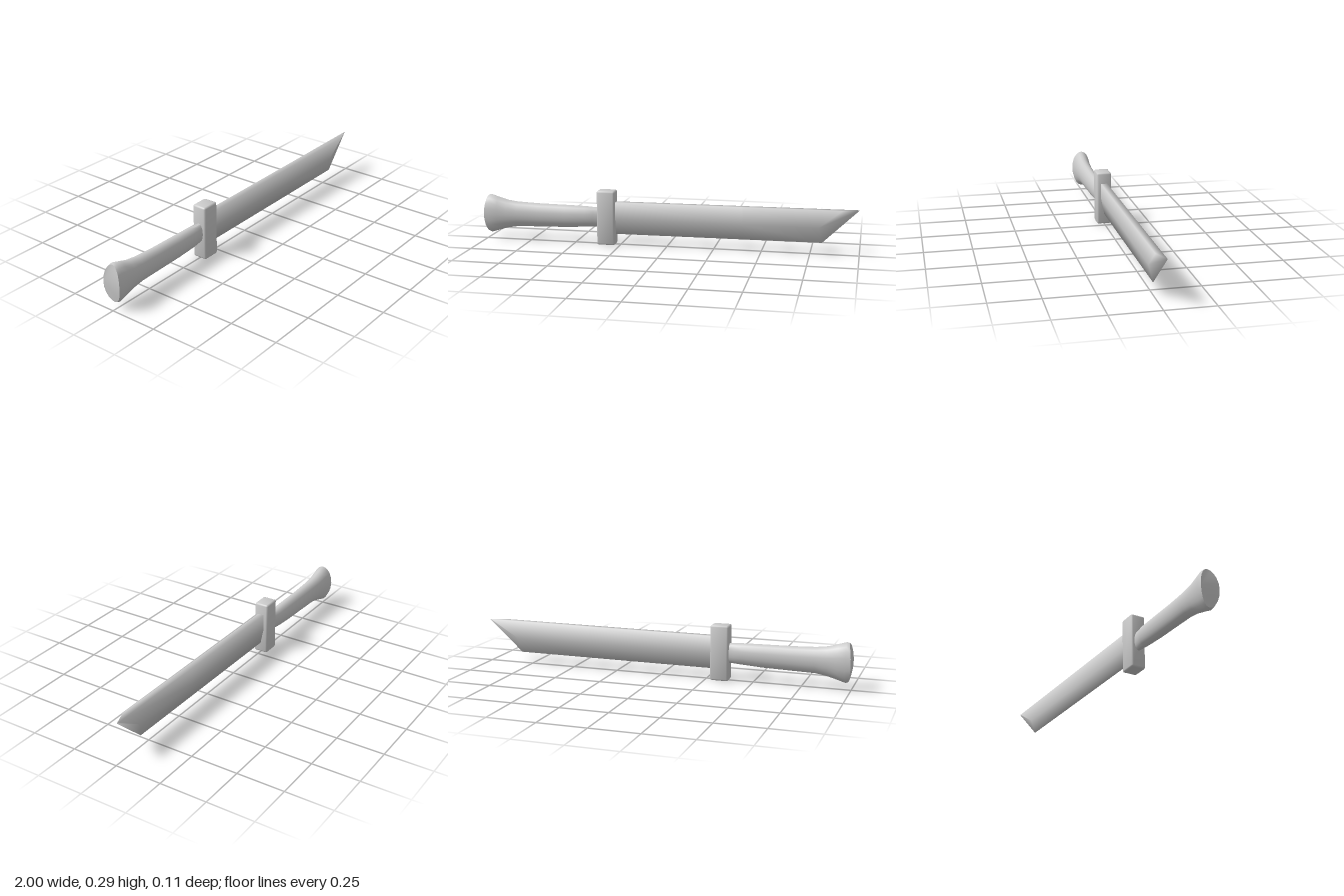
import * as THREE from 'three';
import { RoundedBoxGeometry } from 'three/addons/geometries/RoundedBoxGeometry.js';
import { toCreasedNormals } from 'three/addons/utils/BufferGeometryUtils.js';

const grey = new THREE.MeshStandardMaterial({ color: 0xcccccc });

function addPart(group, name, geometry) {
  const mesh = new THREE.Mesh(geometry, grey);
  mesh.name = name;
  group.add(mesh);
  return mesh;
}

// Joins equal rings of points running along +x, closing both ends.
// Rings run anticlockwise when seen from +x.
function loft(rings, crease) {
  const n = rings[0].length;
  const points = rings.flat();
  const index = [];
  for (let r = 0; r < rings.length - 1; r++) {
    for (let i = 0; i < n; i++) {
      const a = r * n + i, b = r * n + (i + 1) % n;
      index.push(a, b, b + n, a, b + n, a + n);
    }
  }
  const last = (rings.length - 1) * n;
  for (let i = 1; i < n - 1; i++) {
    index.push(0, i + 1, i, last, last + i, last + i + 1);
  }
  const geometry = new THREE.BufferGeometry();
  geometry.setAttribute('position', new THREE.Float32BufferAttribute(points.flat(), 3));
  geometry.setIndex(index);
  return toCreasedNormals(geometry, crease);
}

// Grip swelling into a flared pommel: [x, bottom, top, half depth]
function gripGeometry() {
  const sections = [
    [-1.0, 0.042, 0.24, 0.051],
    [-0.972, 0.035, 0.245, 0.053],
    [-0.93, 0.048, 0.232, 0.049],
    [-0.88, 0.063, 0.217, 0.045],
    [-0.82, 0.073, 0.209, 0.042],
    [-0.7, 0.076, 0.204, 0.039],
    [-0.55, 0.08, 0.202, 0.038],
    [-0.44, 0.087, 0.2, 0.036],
    [-0.4, 0.09, 0.197, 0.029],
    [-0.36, 0.092, 0.195, 0.021],
  ];
  const sides = 20;
  const rings = sections.map(([x, bottom, top, depth], s) => {
    const ring = [];
    for (let i = 0; i < sides; i++) {
      const angle = (i / sides) * Math.PI * 2;
      const up = Math.sin(angle);
      // The butt end bows outward around its middle
      const bow = s === 0 ? 0.014 * up * up : 0;
      ring.push([
        x + bow,
        (bottom + top) / 2 + up * (top - bottom) / 2,
        -Math.cos(angle) * depth,
      ]);
    }
    return ring;
  });
  return loft(rings, 0.9);
}

// Single-edged blade: flat spine, straight flanks, ground edge, slanted point
function bladeGeometry() {
  const t = 0.017;
  const section = (x, top, edge) => [
    [x, top, t], [x, 0.14, t], [x, edge, 0], [x, 0.14, -t], [x, top, -t],
  ];
  const point = [
    [0.91, 0.235, t], [0.79, 0.14, t], [0.81, 0.06, 0], [0.83, 0.14, -t], [0.985, 0.235, -t],
  ];
  const tip = point.map(() => [0.995, 0.235, -0.016]);
  const rings = [
    section(-0.32, 0.229, 0.055), section(-0.29, 0.229, 0.055), section(0.4, 0.232, 0.058),
    point, tip,
  ];
  return loft(rings, Math.PI);
}

export function createModel() {
  const group = new THREE.Group();
  group.name = 'shortSword';

  addPart(group, 'grip', gripGeometry());
  const guard = toCreasedNormals(new RoundedBoxGeometry(0.096, 0.29, 0.078, 1, 0.009), Math.PI);
  addPart(group, 'guard', guard).position.set(-0.325, 0.145, 0);
  addPart(group, 'blade', bladeGeometry());

  return group;
}
